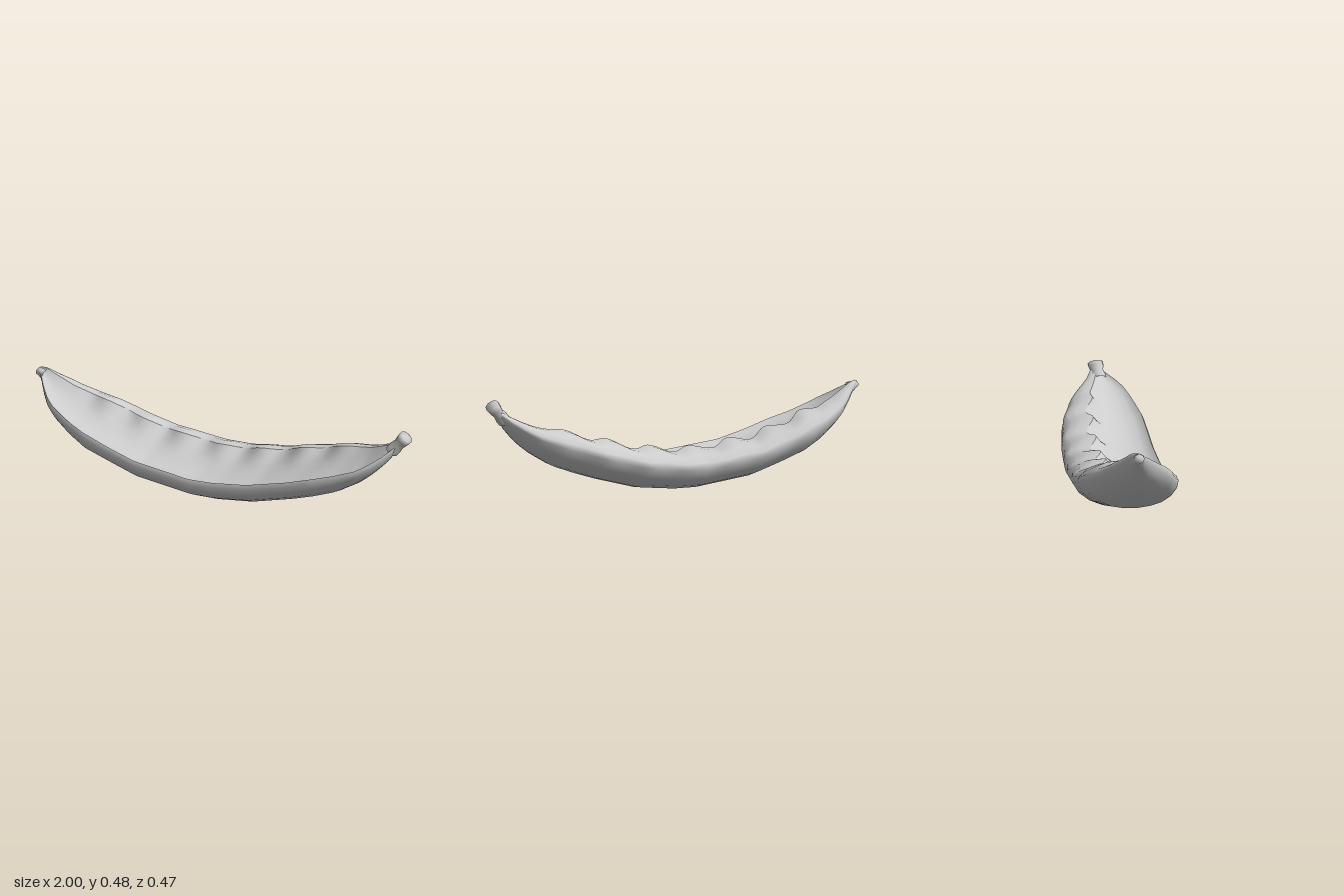
import * as THREE from 'three';

// Stations along the pod: x, bottom y, top y, back z, front z
const STATIONS = [
  [-0.98, 0.41, 0.447, -0.025, 0.012], [-0.95, 0.375, 0.445, -0.045, 0.03],
  [-0.9, 0.31, 0.418, -0.08, 0.085], [-0.85, 0.26, 0.393, -0.115, 0.132],
  [-0.8, 0.22, 0.368, -0.14, 0.16], [-0.7, 0.155, 0.335, -0.177, 0.19],
  [-0.6, 0.105, 0.312, -0.2, 0.215], [-0.45, 0.065, 0.262, -0.22, 0.222],
  [-0.3, 0.025, 0.225, -0.23, 0.23], [0, 0, 0.195, -0.24, 0.235],
  [0.12, 0.005, 0.202, -0.24, 0.232], [0.3, 0.03, 0.228, -0.24, 0.225],
  [0.5, 0.09, 0.28, -0.225, 0.217], [0.6, 0.125, 0.312, -0.205, 0.21],
  [0.7, 0.165, 0.338, -0.18, 0.19], [0.8, 0.23, 0.36, -0.14, 0.165],
  [0.85, 0.275, 0.382, -0.105, 0.14], [0.9, 0.33, 0.408, -0.065, 0.095],
  [0.945, 0.395, 0.435, -0.04, 0.03],
];

// Half-width / height profiles: outer skin from front rim, under, to back ridge
const SKIN = [[0.95, 0.69], [1, 0.58], [0.97, 0.42], [0.84, 0.24], [0.64, 0.11], [0.42, 0.04], [0.15, 0],
  [-0.15, 0], [-0.42, 0.05], [-0.66, 0.16], [-0.87, 0.35], [-1, 0.6], [-0.97, 0.75], [-0.83, 0.89], [-0.6, 0.98], [-0.36, 1]];
// Hollow face from the back ridge down and out to the front rim
const HOLLOW = [[-0.36, 1], [-0.22, 0.86], [0, 0.7], [0.25, 0.59], [0.5, 0.53], [0.75, 0.55], [0.88, 0.62], [0.95, 0.69]];

function station(x) {
  let i = 0;
  while (i < STATIONS.length - 2 && STATIONS[i + 1][0] < x) i++;
  const a = STATIONS[i], b = STATIONS[i + 1];
  const t = (x - a[0]) / (b[0] - a[0]);
  return a.map((v, k) => v + (b[k] - v) * t);
}

// Sweep a profile along the pod, with scallops wherever it nears the ridge
function loft(profile, columns = 90) {
  const points = [], index = [], n = profile.length;
  const x0 = STATIONS[0][0], x1 = STATIONS.at(-1)[0];
  for (let i = 0; i <= columns; i++) {
    const [x, bottom, top, back, front] = station(x0 + (x1 - x0) * i / columns);
    const fade = THREE.MathUtils.clamp((0.8 - Math.abs(x)) * 5, 0, 1);
    const wave = Math.cos((x - 0.02) * Math.PI * 2 / 0.215) * fade;
    for (const [u, v] of profile) {
      const ridge = THREE.MathUtils.clamp((v - 0.68) / 0.32, 0, 1) * (u < 0.3 ? 1 : 0);
      points.push(x, bottom + (top - bottom) * v + wave * ridge * 0.011,
        (back + front) / 2 + (front - back) / 2 * u + wave * ridge * 0.02);
    }
  }
  for (let i = 0; i < columns; i++) {
    for (let j = 0; j < n - 1; j++) {
      const a = i * n + j, b = a + n;
      index.push(a, a + 1, b, b, a + 1, b + 1);
    }
  }
  const geometry = new THREE.BufferGeometry();
  geometry.setAttribute('position', new THREE.Float32BufferAttribute(points, 3));
  geometry.setIndex(index);
  geometry.computeVertexNormals();
  return geometry;
}

// Turned stub pointing from one spot to another, widened across z
function stub(from, to, radii, widen) {
  const a = new THREE.Vector3(...from), b = new THREE.Vector3(...to);
  const length = a.distanceTo(b);
  const profile = radii.map((r, i) => new THREE.Vector2(r, length * i / (radii.length - 1)));
  profile.push(new THREE.Vector2(0, length * 1.04));
  const geometry = new THREE.LatheGeometry(profile, 8);
  geometry.scale(1, 1, widen);
  geometry.applyQuaternion(new THREE.Quaternion().setFromUnitVectors(
    new THREE.Vector3(0, 1, 0), b.clone().sub(a).normalize()));
  geometry.translate(...from);
  return geometry;
}

export function createModel() {
  const group = new THREE.Group();
  const grey = new THREE.MeshStandardMaterial({ color: 0xcccccc, side: THREE.DoubleSide });
  grey.name = 'pale grey';
  const add = (name, geometry) => {
    const mesh = new THREE.Mesh(geometry, grey);
    mesh.name = name;
    group.add(mesh);
  };

  add('outerSkin', loft(SKIN));
  add('hollowFace', loft(HOLLOW));
  add('stem', stub([0.915, 0.385, 0.005], [0.976, 0.461, -0.008], [0.03, 0.03, 0.025, 0.03, 0.032], 1.35));
  add('tip', stub([-0.95, 0.412, -0.008], [-0.991, 0.429, -0.006], [0.03, 0.022, 0.019], 1.1));
  return group;
}
